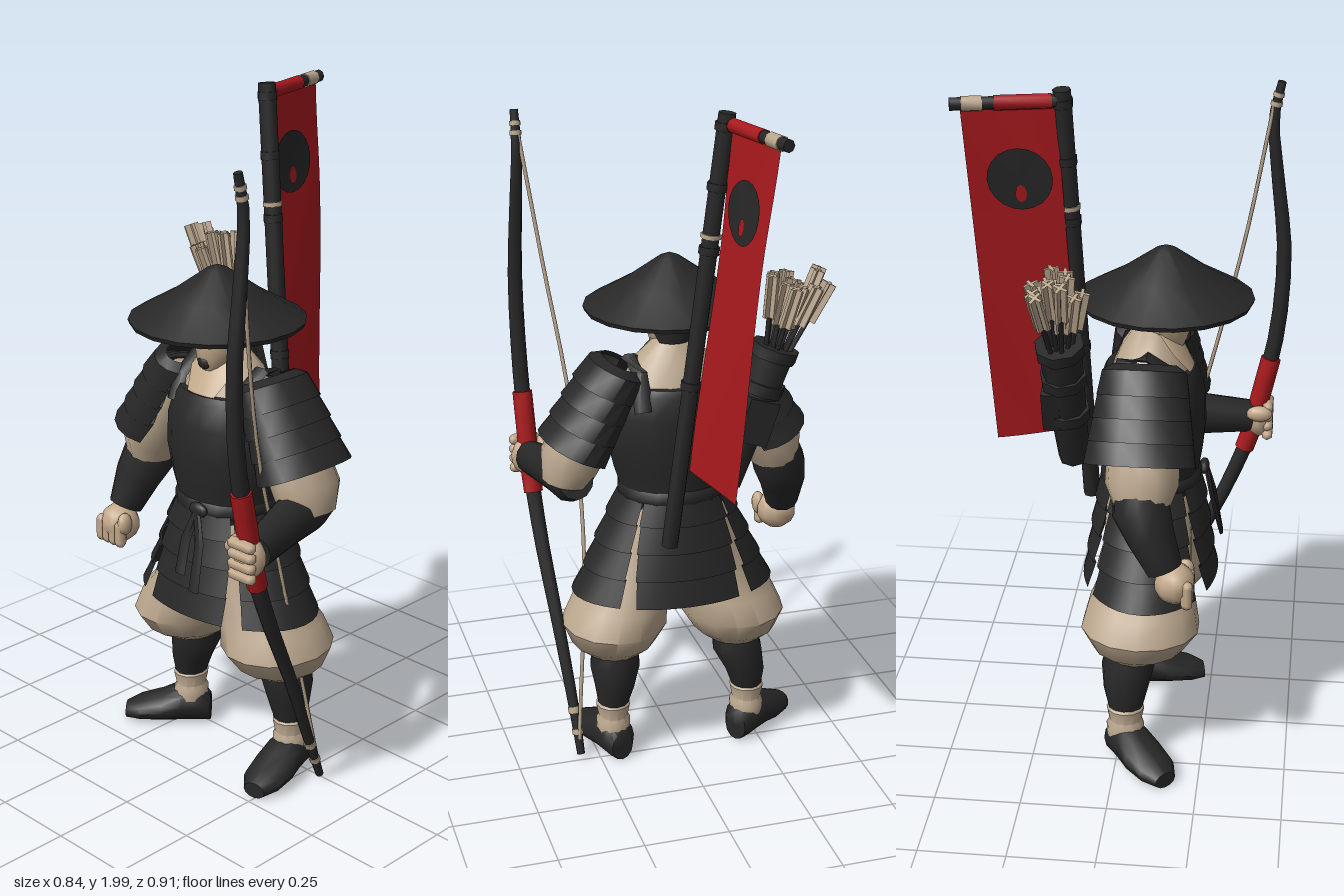
import * as THREE from 'three';
import { toCreasedNormals } from 'three/addons/utils/BufferGeometryUtils.js';

const V = (x, y, z) => new THREE.Vector3(x, y, z);
const Y = V(0, 1, 0), Z = V(0, 0, 1), D = Math.PI / 180;

const mat = (name, color) => {
  const m = new THREE.MeshStandardMaterial({ color, side: THREE.DoubleSide });
  m.name = name;
  return m;
};

// Elliptical rings [x, y, z, radiusAcross, radiusAlongRef, startDeg, endDeg] joined into a skin
function sweep(rows, { ref = Z, axis = null, seg = 12, cap = true, crease = 0.8 } = {}) {
  const pos = [], idx = [], n = rows.length, w = seg + 1;
  const c = rows.map(r => V(r[0], r[1], r[2]));
  rows.forEach((r, i) => {
    const t = axis || c[Math.min(i + 1, n - 1)].clone().sub(c[Math.max(i - 1, 0)]).normalize();
    const v = ref.clone().addScaledVector(t, -ref.dot(t)).normalize();
    const u = v.clone().cross(t);
    const a0 = (r[5] ?? 0) * D, a1 = (r[6] ?? 360) * D;
    for (let j = 0; j <= seg; j++) {
      const a = a0 + (a1 - a0) * j / seg;
      const p = c[i].clone().addScaledVector(u, r[3] * Math.cos(a)).addScaledVector(v, (r[4] ?? r[3]) * Math.sin(a));
      pos.push(p.x, p.y, p.z);
    }
  });
  for (let i = 0; i < n - 1; i++) for (let j = 0; j < seg; j++) {
    const a = i * w + j, d = a + w;
    idx.push(a, a + 1, d + 1, a, d + 1, d);
  }
  if (cap) for (const i of [0, n - 1]) {
    const k = pos.length / 3;
    pos.push(c[i].x, c[i].y, c[i].z);
    for (let j = 0; j < seg; j++) {
      if (i) idx.push(k, i * w + j, i * w + j + 1);
      else idx.push(k, j + 1, j);
    }
  }
  const g = new THREE.BufferGeometry();
  g.setAttribute('position', new THREE.Float32BufferAttribute(pos, 3));
  g.setIndex(idx);
  return toCreasedNormals(g, crease);
}

export function createModel() {
  const root = new THREE.Group();
  root.name = 'archer';
  const dark = mat('charcoal', 0x272727), cream = mat('linen', 0xbba78e);
  const skin = mat('skin', 0xc4aa8c), red = mat('red', 0xa8191d);

  const add = (name, geo, material, parent = root) => {
    const m = new THREE.Mesh(geo, material);
    m.name = name;
    parent.add(m);
    return m;
  };
  const rod = (name, a, b, r, material, r2 = r) =>
    add(name, sweep([[...a, r], [...b, r2]], { seg: 8, ref: Math.abs(b[1] - a[1]) > 0.2 ? Z : Y }), material);
  const ball = (name, p, s, material) => {
    const m = add(name, new THREE.SphereGeometry(1, 10, 7), material);
    m.position.set(...p);
    m.scale.set(...s);
    return m;
  };
  const down = { axis: V(0, -1, 0) }, up = { axis: Y };

  // Torso, shirt, neckline
  add('cuirass', sweep([
    [0, 1.18, 0.075, 0.155, 0.128], [0, 1.16, 0.075, 0.17, 0.138], [0, 1.09, 0.08, 0.19, 0.152],
    [0, 1.0, 0.08, 0.194, 0.155], [0, 0.92, 0.08, 0.176, 0.147], [0, 0.85, 0.078, 0.154, 0.137],
    [0, 0.78, 0.078, 0.16, 0.13]], { ...down, seg: 18 }), dark);
  add('shirtCollar', sweep([[0, 1.3, 0.075, 0.05, 0.045], [0, 1.24, 0.075, 0.115, 0.085],
    [0, 1.15, 0.075, 0.16, 0.122]], { ...down, seg: 14 }), cream);
  add('bareChest', sweep([[0, 1.3, 0.078, 0.056, 0.05, 20, 160], [0, 1.24, 0.078, 0.12, 0.09, 48, 132],
    [0, 1.17, 0.078, 0.155, 0.124, 72, 108]], { ...down, cap: false }), skin);
  for (const s of [-1, 1])
    add('shoulderStrap', sweep([[s * 0.12, 1.13, 0.18, 0.025, 0.012], [s * 0.12, 1.2, 0.15, 0.025, 0.012],
      [s * 0.125, 1.25, 0.075, 0.028, 0.012], [s * 0.12, 1.22, 0.0, 0.028, 0.012],
      [s * 0.115, 1.12, -0.04, 0.028, 0.012]], { ref: V(0, 0.7, 0.72), seg: 6 }), dark);

  // Waist sash with knot and hanging ends
  add('sash', sweep([[0, 0.875, 0.078, 0.15, 0.135], [0, 0.86, 0.078, 0.161, 0.147],
    [0, 0.835, 0.078, 0.162, 0.149], [0, 0.82, 0.078, 0.15, 0.14]], { ...down, seg: 18 }), dark);
  ball('sashKnot', [0.03, 0.85, 0.23], [0.035, 0.022, 0.015], dark);
  for (const [x, y] of [[0.005, 0.66], [0.06, 0.62]])
    add('sashEnd', sweep([[0.03, 0.85, 0.235, 0.012, 0.008], [x, 0.76, 0.257, 0.018, 0.007],
      [x, y, 0.282, 0.02, 0.006]], { seg: 6 }), dark);

  // Armoured skirt: four flared panels, each made of overlapping bands
  const panels = [['frontSkirt', 90, 45, 28], ['leftSkirt', 0, 43, 49], ['backSkirt', 270, 46, 31], ['rightSkirt', 180, 43, 49]];
  for (const [name, mid, top, bottom] of panels) {
    const rows = [];
    for (let i = 0; i < 4; i++) for (const [f, out] of [[0, 0], [1, 0.01]]) {
      const k = (i + f) / 4, h = top + (bottom - top) * k;
      rows.push([0, 0.85 - 0.32 * k, 0.078, 0.152 + 0.145 * k + out, 0.142 + 0.047 * k + out, mid - h, mid + h]);
    }
    add(name, sweep(rows, { ...down, cap: false, seg: 10, crease: 0.4 }), dark);
  }

  // Legs: ballooned trousers, shin guards, ankle wraps, shoes
  for (const s of [-1, 1]) {
    const side = s > 0 ? 'left' : 'right', ankle = s > 0 ? 0.202 : -0.222;
    add(side + 'Trouser', sweep([
      [s * 0.05, 0.85, 0.075, 0.075, 0.115], [s * 0.09, 0.7, 0.078, 0.105, 0.128],
      [s * 0.138, 0.55, 0.072, 0.122, 0.138], [s * 0.165, 0.5, 0.068, 0.142, 0.158],
      [s * 0.184, 0.43, 0.065, 0.156, 0.174], [s * 0.19, 0.37, 0.06, 0.125, 0.135],
      [s * 0.19, 0.33, 0.05, 0.07, 0.075]], { ...down, seg: 14 }), cream);
    add(side + 'ShinGuard', sweep([[s * 0.188, 0.37, 0.04, 0.066, 0.07], [s * 0.193, 0.3, 0.03, 0.076, 0.078],
      [ankle * 0.97, 0.23, 0.025, 0.06, 0.065], [ankle, 0.17, 0.025, 0.045, 0.05]], down), dark);
    add(side + 'AnkleWrap', sweep([[ankle, 0.185, 0.025, 0.04, 0.045], [ankle, 0.17, 0.025, 0.052, 0.056],
      [ankle, 0.13, 0.025, 0.044, 0.048], [ankle, 0.115, 0.025, 0.052, 0.056],
      [ankle, 0.08, 0.025, 0.05, 0.055]], down), cream);
    const shoe = add(side + 'Shoe', sweep([
      [0, 0.045, -0.06, 0.035, 0.045], [0, 0.06, -0.035, 0.052, 0.06], [0, 0.062, 0.03, 0.06, 0.062],
      [0, 0.046, 0.09, 0.068, 0.046], [0, 0.035, 0.16, 0.062, 0.035], [0, 0.024, 0.205, 0.035, 0.024]],
    { ref: Y, axis: Z }), dark);
    shoe.position.set(ankle, 0, 0.025);
    shoe.rotation.y = s > 0 ? 0.22 : -0.86;
  }

  // Sleeves and layered shoulder guards, mirrored
  for (const s of [-1, 1]) {
    const arm = new THREE.Group();
    arm.name = s > 0 ? 'leftShoulder' : 'rightShoulder';
    arm.scale.x = s;
    root.add(arm);
    add('sleeve', sweep([[0.17, 1.17, 0.075, 0.06, 0.07], [0.25, 1.05, 0.078, 0.088, 0.1],
      [0.31, 0.95, 0.08, 0.088, 0.103], [0.32, 0.89, 0.08, 0.07, 0.08]]), cream, arm);
    for (let i = 0; i < 4; i++) {
      const at = k => [0.165 + 0.031 * k, 1.225 - 0.056 * k, 0.072];
      const r = 0.084 + 0.004 * i, z = 0.118 + 0.009 * i;
      add('shoulderPlate', sweep([
        [...at(i - 0.3), r - 0.03, z - 0.03, -130, 130], [...at(i), r, z, -130, 130],
        [...at(i + 1.1), r + 0.016, z + 0.012, -122, 122], [...at(i + 1.1), r - 0.015, z - 0.02, -122, 122]],
      { axis: V(0.4, -0.917, 0), cap: false, crease: 0.5 }), dark, arm);
    }
  }

  // Forearms and hands
  add('rightForearm', sweep([[-0.315, 0.95, 0.07, 0.065, 0.07], [-0.332, 0.88, 0.08, 0.08, 0.082],
    [-0.356, 0.81, 0.11, 0.07, 0.068], [-0.37, 0.72, 0.15, 0.05, 0.052]]), dark);
  add('leftForearm', sweep([[0.305, 0.92, 0.02, 0.055, 0.065], [0.308, 0.9, 0.08, 0.066, 0.075],
    [0.325, 0.885, 0.18, 0.058, 0.066], [0.368, 0.865, 0.345, 0.047, 0.05]], { ref: Y }), dark);
  ball('rightFist', [-0.364, 0.675, 0.178], [0.062, 0.06, 0.058], skin);
  ball('leftFist', [0.37, 0.86, 0.37], [0.05, 0.06, 0.042], skin);
  for (let i = 0; i < 4; i++) {
    const f = add('rightFinger', new THREE.CapsuleGeometry(0.018, 0.05, 3, 6), skin);
    f.position.set(-0.404 + 0.027 * i, 0.658, 0.215);
    const g = add('leftFinger', new THREE.CapsuleGeometry(0.018, 0.06, 3, 6), skin);
    g.position.set(0.372, 0.815 + 0.03 * i, 0.4);
    g.rotation.z = Math.PI / 2;
  }
  ball('rightThumb', [-0.314, 0.69, 0.205], [0.02, 0.035, 0.025], skin);
  ball('leftThumb', [0.325, 0.89, 0.375], [0.02, 0.025, 0.04], skin);

  // Head
  add('head', sweep([[0, 1.245, 0.135, 0.03, 0.035], [0, 1.27, 0.122, 0.05, 0.062], [0, 1.32, 0.108, 0.067, 0.08],
    [0, 1.38, 0.105, 0.069, 0.082], [0, 1.44, 0.105, 0.045, 0.05]], up), skin);
  add('neck', sweep([[0, 1.2, 0.075, 0.06, 0.055], [0, 1.32, 0.09, 0.05, 0.05]], up), skin);
  add('hair', sweep([[0, 1.295, 0.1, 0.064, 0.08, 225, 315], [0, 1.34, 0.1, 0.075, 0.088, 205, 335],
    [0, 1.44, 0.1, 0.06, 0.07, 190, 350]], { ...up, cap: false }), dark);
  ball('beard', [0, 1.27, 0.172], [0.022, 0.02, 0.016], dark);
  const nose = add('nose', new THREE.ConeGeometry(0.014, 0.05, 4), skin);
  nose.position.set(0, 1.34, 0.186);
  for (const s of [-1, 1]) {
    const eye = add('eye', new THREE.BoxGeometry(0.024, 0.007, 0.008), dark);
    eye.position.set(s * 0.028, 1.374, 0.18);
    eye.rotation.y = s * 0.35;
  }

  // Straw hat
  const hat = add('hat', toCreasedNormals(new THREE.LatheGeometry(
    [[0, 1.44], [0.12, 1.42], [0.245, 1.375], [0.25, 1.388], [0.13, 1.457], [0.03, 1.528], [0, 1.54]]
      .map(p => new THREE.Vector2(...p)), 18), 0.7), dark);
  hat.position.set(-0.005, 0, 0.115);

  // Bow with grip, bindings and string
  const bow = new THREE.CatmullRomCurve3([
    [0.37, 1.91, 0.41], [0.37, 1.8, 0.39], [0.375, 1.6, 0.41], [0.378, 1.4, 0.432], [0.375, 1.15, 0.42],
    [0.37, 0.95, 0.38], [0.365, 0.8, 0.345], [0.355, 0.62, 0.275], [0.335, 0.39, 0.165],
    [0.315, 0.15, 0.065], [0.308, 0.015, 0.01]].map(p => V(...p)));
  const limb = (name, t0, t1, extra, material, n) => {
    const rows = [];
    for (let i = 0; i <= n; i++) {
      const t = t0 + (t1 - t0) * i / n, p = bow.getPoint(t);
      rows.push([p.x, p.y, p.z, 0.012 + 0.012 * Math.sin(Math.PI * t) + extra]);
    }
    add(name, sweep(rows, { seg: 8 }), material);
  };
  limb('bowStave', 0, 1, 0, dark, 24);
  limb('bowGrip', 0.445, 0.625, 0.006, red, 6);
  for (const t of [0.03, 0.055, 0.9, 0.945]) limb('bowBinding', t, t + 0.012, 0.003, cream, 1);
  add('bowString', new THREE.TubeGeometry(new THREE.CatmullRomCurve3([
    V(0.365, 1.85, 0.39), V(0.315, 1.46, 0.32), V(0.268, 1.08, 0.23), V(0.26, 0.65, 0.12), V(0.31, 0.06, 0.02)]),
  20, 0.006, 5), cream);

  // Banner pole, crossbar and fittings
  const pole = k => [-0.085 + 0.145 * k, 1.99 - 1.26 * k, -0.16 + 0.055 * k];
  rod('bannerPole', pole(0), pole(1), 0.025, dark);
  for (const [k, len, m] of [[0.02, 0.018, dark], [0.15, 0.018, dark], [0.262, 0.01, cream], [0.29, 0.018, dark], [0.6, 0.018, dark]])
    rod('poleRing', pole(k), pole(k + len), 0.029, m);
  const bar = k => [-0.085 - 0.07 * k, 1.96, -0.15 - 0.3 * k];
  rod('crossbar', bar(0), bar(1), 0.018, dark);
  rod('crossbarSleeve', bar(0.12), bar(0.62), 0.021, red);
  rod('crossbarBinding', bar(0.72), bar(0.9), 0.021, cream);

  // Banner cloth: bilinear sheet with a soft wave, and a round patch with a notch on each face
  const cloth = (u, v, off) => {
    const top = V(-0.095, 1.965, -0.175).lerp(V(-0.145, 1.965, -0.425), u);
    const low = V(0.0, 0.965, -0.125).lerp(V(-0.045, 0.95, -0.365), u);
    const wave = 0.008 * Math.sin(v * 5 + u * 3) * Math.min(1, v * 4);
    return top.lerp(low, v).addScaledVector(V(-0.97, -0.1, 0.2), wave + off);
  };
  const drape = (geo, map) => {
    const p = geo.attributes.position;
    for (let i = 0; i < p.count; i++) p.setXYZ(i, ...map(p.getX(i), p.getY(i)).toArray());
    geo.computeVertexNormals();
    return geo;
  };
  add('bannerCloth', drape(new THREE.PlaneGeometry(1, 1, 8, 14), (x, y) => cloth(x + 0.5, 0.5 - y, 0)), red);
  for (const s of [-1, 1]) {
    add('bannerPatch', drape(new THREE.CircleGeometry(0.088, 20),
      (x, y) => cloth(0.45 + x / 0.25, 0.218 - y, s * 0.005)), dark);
    add('patchNotch', drape(new THREE.CircleGeometry(0.016, 8),
      (x, y) => cloth(0.45 + x / 0.25, 0.258 - y * 1.6, s * 0.008)), red);
  }

  // Quiver
  const q = k => [-0.235 + 0.135 * k, 1.325 - 0.4 * k, -0.155 + 0.02 * k];
  rod('quiver', q(0), q(1), 0.062, dark, 0.045);
  for (const k of [0, 0.25, 0.55]) rod('quiverBand', q(k), q(k + 0.08), 0.07 - 0.013 * k, dark);
  const pouch = add('quiverPouch', new THREE.BoxGeometry(0.09, 0.13, 0.05), dark);
  pouch.position.set(-0.17, 1.12, -0.185);
  pouch.rotation.z = 0.32;

  // Arrows fanned out of the quiver with crossed fletching
  for (let i = 0; i < 14; i++) {
    const a = i * 2.4, r = Math.sqrt((i + 0.5) / 14), ca = Math.cos(a) * r, sa = Math.sin(a) * r;
    const from = V(-0.235 + 0.035 * ca, 1.3, -0.155 + 0.035 * sa);
    const to = V(-0.3 + 0.088 * ca, 1.515 + 0.025 * Math.sin(i * 5), -0.158 + 0.085 * sa);
    const arrow = new THREE.Group();
    arrow.name = 'arrow';
    arrow.position.copy(from);
    arrow.quaternion.setFromUnitVectors(Y, to.clone().sub(from).normalize());
    root.add(arrow);
    const len = from.distanceTo(to);
    add('shaft', new THREE.CylinderGeometry(0.007, 0.007, len - 0.02, 5), dark, arrow).position.y = len / 2 - 0.01;
    for (const turn of [0, Math.PI / 2]) {
      const f = add('fletching', new THREE.BoxGeometry(0.042, 0.12, 0.009), cream, arrow);
      f.position.y = len - 0.06;
      f.rotation.y = turn + i;
    }
  }
  return root;
}
